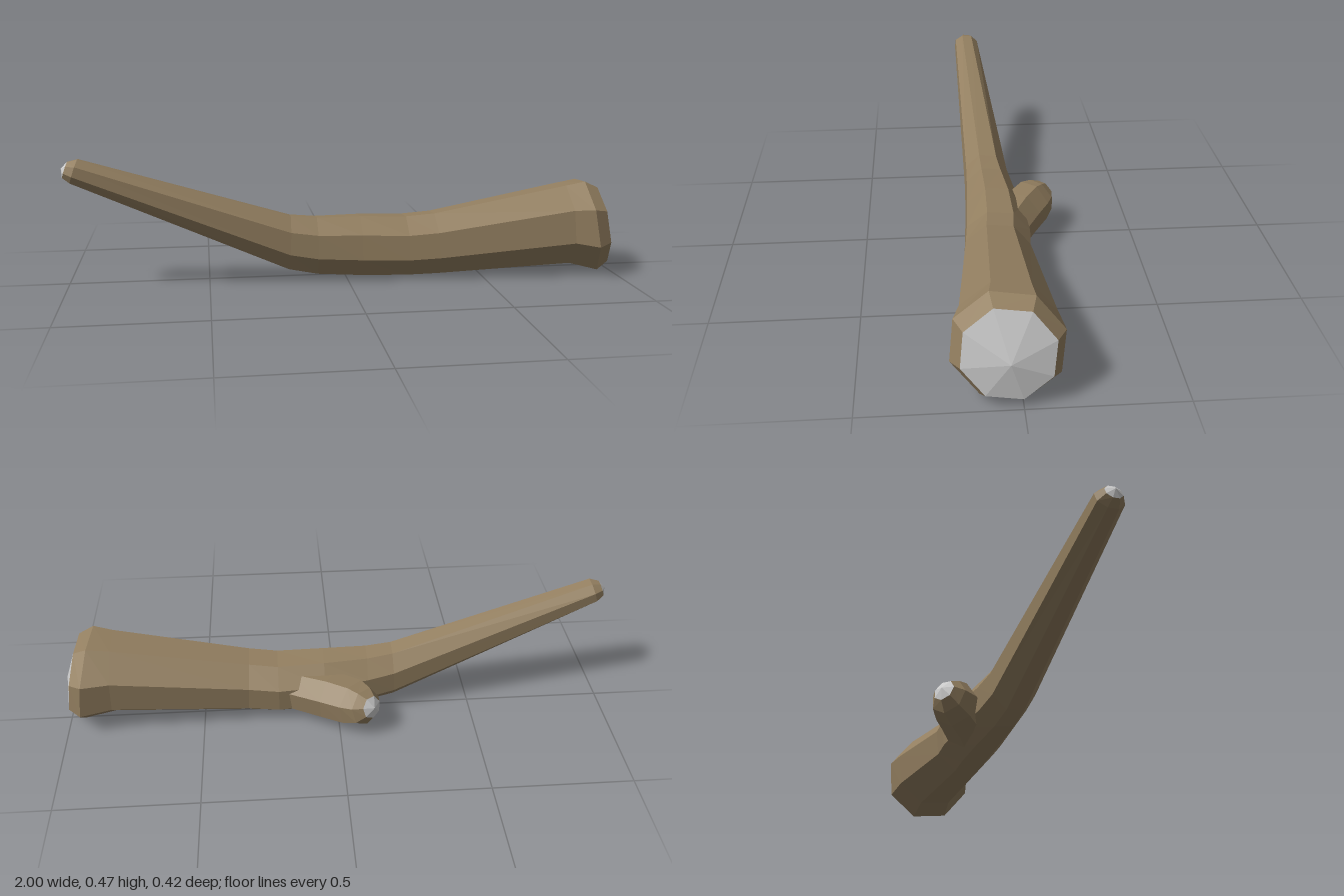
import * as THREE from 'three';

const bark = new THREE.MeshStandardMaterial({ color: 0x937f60, flatShading: true });
const cutWood = new THREE.MeshStandardMaterial({ color: 0xcccccc, flatShading: true });

function mesh(name, points, material) {
  const geometry = new THREE.BufferGeometry().setFromPoints(points);
  geometry.computeVertexNormals();
  const m = new THREE.Mesh(geometry, material);
  m.name = name;
  return m;
}

// Skin between successive rings of equal length
function loft(name, rings) {
  const pts = [];
  for (let i = 0; i + 1 < rings.length; i++) {
    const r = rings[i], s = rings[i + 1], n = r.length;
    for (let k = 0; k < n; k++) {
      const j = (k + 1) % n;
      pts.push(r[k], s[k], r[j], s[k], s[j], r[j]);
    }
  }
  return mesh(name, pts, bark);
}

// Shallow domed fan closing a ring
function cap(name, ring, centre, atEnd) {
  const pts = [];
  ring.forEach((p, k) => {
    const q = ring[(k + 1) % ring.length];
    pts.push(centre, ...(atEnd ? [q, p] : [p, q]));
  });
  return mesh(name, pts, cutWood);
}

// Octagonal trunk section from its y and z limits; lean and yaw shift x by height and depth
function trunkRing([x, y0, y1, z0, z1, lean = 0, yaw = 0]) {
  return Array.from({ length: 8 }, (_, k) => {
    const a = THREE.MathUtils.degToRad(28 + 45 * k);
    const dz = Math.cos(a) * (z1 - z0) / 2 * 1.03;
    const dy = Math.sin(a) * (y1 - y0) / 2 * 1.03;
    return new THREE.Vector3(x + lean * dy + yaw * dz, (y0 + y1) / 2 + dy, (z0 + z1) / 2 + dz);
  });
}

// Round section of the side stub, square to its direction
function stubRing([x, y, z, r], dir) {
  const u = new THREE.Vector3(0, 1, 0).cross(dir.clone().negate()).normalize();
  const v = dir.clone().negate().cross(u).normalize();
  return Array.from({ length: 7 }, (_, k) => {
    const a = k / 7 * Math.PI * 2 + 0.3;
    return new THREE.Vector3(x, y, z)
      .addScaledVector(u, r * Math.cos(a)).addScaledVector(v, r * Math.sin(a));
  });
}

export function createModel() {
  const group = new THREE.Group();
  group.name = 'branch';

  // Main limb from thin tip to flared butt: x, yMin, yMax, zMin, zMax, lean, yaw
  const trunk = [
    [-0.985, 0.405, 0.462, 0.05, 0.11, 0.35],
    [-0.955, 0.385, 0.47, 0.03, 0.128, 0.35],
    [-0.21, 0.04, 0.245, -0.045, 0.122, 0.05],
    [-0.11, 0.018, 0.235, -0.06, 0.125],
    [0.05, 0.006, 0.235, -0.085, 0.132],
    [0.22, 0.002, 0.23, -0.095, 0.142],
    [0.33, 0.006, 0.24, -0.085, 0.15, -0.05],
    [0.825, 0.03, 0.335, -0.115, 0.195, -0.05],
    [0.918, 0.002, 0.35, -0.13, 0.218, -0.16, -0.08],
    [0.965, 0.032, 0.325, -0.1, 0.188, -0.16, -0.06],
  ].map(trunkRing);
  group.add(loft('mainLimb', trunk));
  group.add(cap('tipCut', trunk[0], new THREE.Vector3(-0.998, 0.438, 0.08), false));
  group.add(cap('buttCut', trunk[trunk.length - 1], new THREE.Vector3(0.999, 0.165, 0.04), true));

  // Short broken stub swelling out of the back: x, y, z, radius
  const path = [
    [0.16, 0.11, -0.01, 0.085],
    [0.03, 0.108, -0.07, 0.09],
    [-0.055, 0.11, -0.125, 0.087],
    [-0.092, 0.118, -0.16, 0.07],
    [-0.112, 0.13, -0.182, 0.042],
  ];
  const bends = [[-1, 0, -0.4], [-1, 0, -0.6], [-0.8, 0.1, -0.8], [-0.7, 0.25, -0.8], [-0.65, 0.3, -0.8]];
  const stub = path.map((p, i) => stubRing(p, new THREE.Vector3(...bends[i]).normalize()));
  group.add(loft('sideStub', stub));
  group.add(cap('stubCut', stub[4], new THREE.Vector3(-0.122, 0.135, -0.194), true));

  return group;
}
